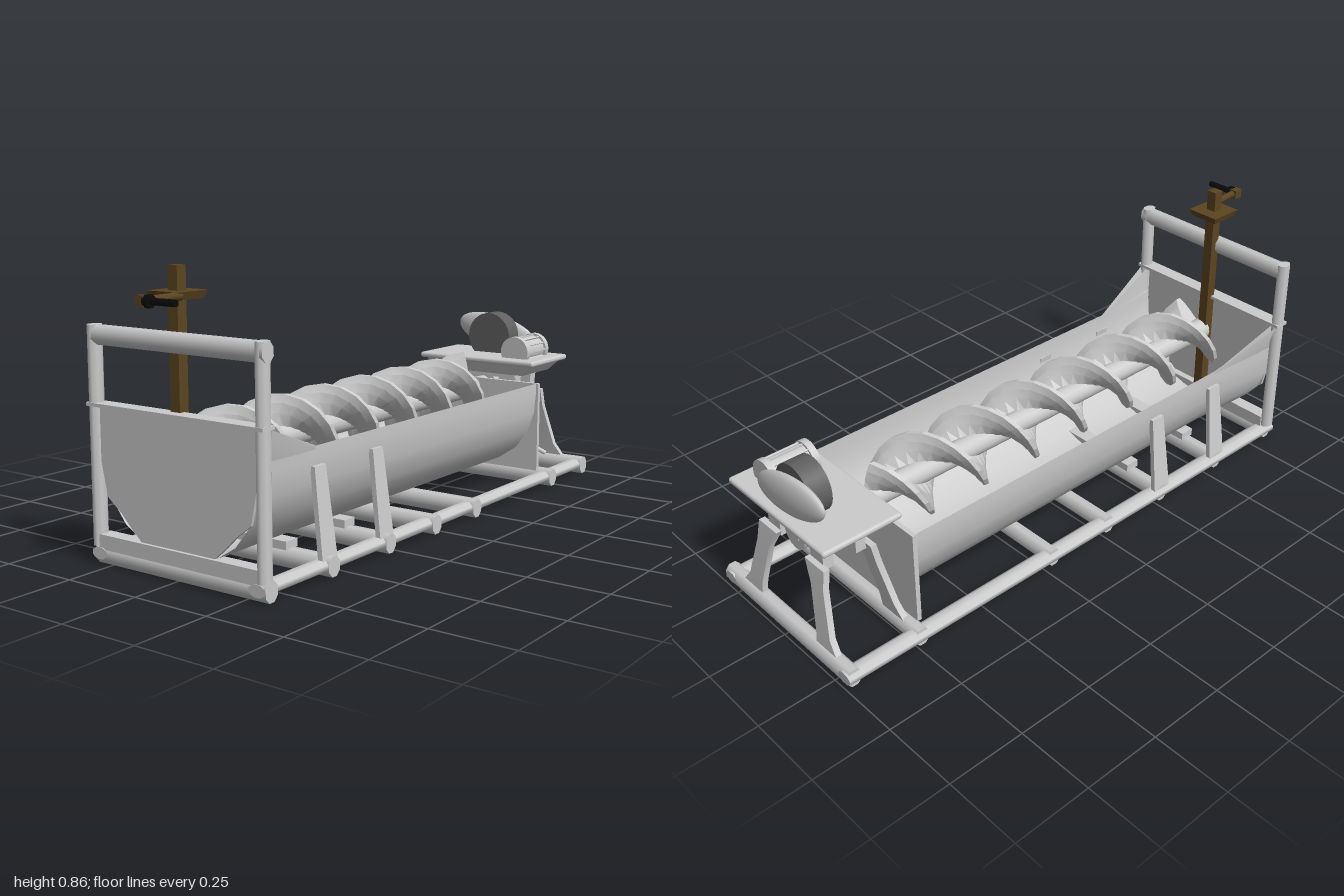
import * as THREE from 'three';
import { toCreasedNormals } from 'three/addons/utils/BufferGeometryUtils.js';
import { RoundedBoxGeometry } from 'three/addons/geometries/RoundedBoxGeometry.js';

const grey = new THREE.MeshStandardMaterial({ color: 0xcccccc, side: THREE.DoubleSide });
const dark = new THREE.MeshStandardMaterial({ color: 0x606060 });
const brown = new THREE.MeshStandardMaterial({ color: 0x5c4520 });
const black = new THREE.MeshStandardMaterial({ color: 0x0a0a0a });

export function createModel() {
  const root = new THREE.Group();
  const V = (x, y, z) => new THREE.Vector3(x, y, z);

  function add(name, geo, mat = grey, x = 0, y = 0, z = 0) {
    const m = new THREE.Mesh(geo, mat);
    m.name = name;
    m.position.set(x, y, z);
    root.add(m);
    return m;
  }
  const box = (name, w, h, d, x, y, z, mat) =>
    add(name, new THREE.BoxGeometry(w, h, d), mat, x, y, z);

  // Eight-sided bar of width w and depth d running from a to b
  function bar(name, a, b, w, d = w, mat = grey) {
    const dir = b.clone().sub(a);
    const g = new THREE.CylinderGeometry(0.541, 0.541, dir.length(), 8);
    g.rotateY(Math.PI / 8);
    g.scale(w, 1, d);
    const p = a.clone().add(b).multiplyScalar(0.5);
    const m = add(name, g, mat, p.x, p.y, p.z);
    m.quaternion.setFromUnitVectors(V(0, 1, 0), dir.normalize());
    return m;
  }

  // Cylinder lying along z
  function discZ(name, r, len, x, y, z, mat, seg = 28) {
    const g = new THREE.CylinderGeometry(r, r, len, seg);
    g.rotateX(Math.PI / 2);
    return add(name, g, mat, x, y, z);
  }

  // Skin over a row of cross-sections with equal point counts
  function loft(sections, closed, crease = 0.6) {
    const n = sections[0].length, pos = [], idx = [];
    sections.forEach(s => s.forEach(p => pos.push(p.x, p.y, p.z)));
    for (let i = 0; i < sections.length - 1; i++) {
      for (let j = 0; j < (closed ? n : n - 1); j++) {
        const k = (j + 1) % n, a = i * n + j, b = i * n + k;
        idx.push(a, b, a + n, b, b + n, a + n);
      }
    }
    if (closed) {
      const e = (sections.length - 1) * n;
      for (let j = 1; j < n - 1; j++) idx.push(0, j + 1, j, e, e + j, e + j + 1);
    }
    const g = new THREE.BufferGeometry();
    g.setAttribute('position', new THREE.Float32BufferAttribute(pos, 3));
    g.setIndex(idx);
    return toCreasedNormals(g, crease);
  }

  // Base frame: side rails and crossbars with joint collars
  for (const s of [-1, 1]) {
    bar('sideRail', V(s * 0.29, 0.035, -0.995), V(s * 0.29, 0.035, 0.85), 0.055, 0.035);
  }
  for (const z of [0.825, 0.555, 0.28, 0.03, -0.21, -0.73, -0.97]) {
    bar('crossbar', V(-0.305, 0.032, z), V(0.32, 0.032, z), 0.058, 0.05);
  }
  box('frontSill', 0.6, 0.06, 0.045, 0.005, 0.06, 0.825);
  for (const z of [0.555, 0.28]) box('troughSaddle', 0.34, 0.025, 0.05, 0, 0.07, z);

  // Front uprights and head bar
  for (const s of [-1, 1]) bar('frontPost', V(s * 0.302, 0.055, 0.83), V(s * 0.302, 0.685, 0.83), 0.035, 0.045);
  bar('headBar', V(-0.302, 0.657, 0.83), V(0.32, 0.657, 0.83), 0.055, 0.045);

  // Trough: U section, with a rim that rises and flares towards the front
  const half = (rimX, rimY, w) => [
    [rimX, rimY], [w, 0.33], [w * 0.975, 0.26], [w * 0.88, 0.19],
    [w * 0.71, 0.13], [w * 0.46, 0.085], [w * 0.2, 0.065],
  ];
  const section = (z, rimX, rimY, w) => {
    const h = half(rimX, rimY, w);
    return [...h, [0, 0.06], ...h.slice().reverse().map(([x, y]) => [-x, y])].map(([x, y]) => V(x, y, z));
  };
  add('trough', loft([
    section(-0.7, 0.262, 0.365, 0.262),
    section(0.58, 0.262, 0.365, 0.262),
    section(0.83, 0.29, 0.46, 0.284),
  ], false, 0.7));
  for (const s of [-1, 1]) {
    add('flaredWing', loft([
      [V(s * 0.262, 0.365, 0.56), V(s * 0.262, 0.355, 0.56)],
      [V(s * 0.315, 0.462, 0.83), V(s * 0.284, 0.36, 0.83)],
    ], false));
    // Flat braces from rails to trough wall
    for (const z of [0.555, 0.28]) {
      const at = (x, y, w) => [V(x * s, y, z - w), V(x * s, y, z + w), V((x - 0.016) * s, y, z + w), V((x - 0.016) * s, y, z - w)];
      add('sideBrace', loft([at(0.305, 0.05, 0.034), at(0.272, 0.31, 0.025)], true));
    }
  }

  // End plates
  const face = new THREE.Shape([
    [0.284, 0.46], [0.284, 0.3], [0.262, 0.2], [0.21, 0.16], [0.175, 0.125], [0.135, 0.09], [0.1, 0.065],
    [-0.1, 0.065], [-0.135, 0.09], [-0.175, 0.125], [-0.21, 0.16], [-0.262, 0.2], [-0.284, 0.3], [-0.284, 0.46],
  ].map(p => new THREE.Vector2(...p)));
  add('frontPlate', new THREE.ExtrudeGeometry(face, { depth: 0.01, bevelEnabled: false }), grey, 0, 0, 0.827);
  box('frontLip', 0.64, 0.01, 0.05, 0, 0.462, 0.83);
  box('backPlate', 0.535, 0.31, 0.015, 0.002, 0.21, -0.708);

  // Twin-start screw conveyor
  const axisY = 0.33, pitch = 0.426;
  discZ('screwShaft', 0.037, 1.5, 0, axisY, 0.05, grey, 16);
  const blade = [[0.03, -0.03], [0.075, -0.024], [0.105, -0.018], [0.13, -0.008],
    [0.13, 0.008], [0.105, 0.018], [0.075, 0.024], [0.03, 0.03]];
  for (let start = 0; start < 2; start++) {
    const rows = [], steps = 56;
    for (let i = 0; i <= steps; i++) {
      const z = -0.66 + (1.43 * i) / steps;
      const a = Math.PI / 2 + ((z - 0.61) / pitch) * Math.PI * 2 + start * Math.PI;
      rows.push(blade.map(([r, dz]) => V(r * Math.cos(a), axisY + r * Math.sin(a), z + dz)));
    }
    add('screwFlight', loft(rows, true, 0.35));
  }

  // Gate spindle, guide plate and crank
  box('gateSpindle', 0.034, 0.76, 0.034, -0.01, 0.48, 0.805, brown);
  const plate = new THREE.CylinderGeometry(0.081, 0.07, 0.022, 4);
  plate.rotateY(Math.PI / 4);
  add('guidePlate', toCreasedNormals(plate, 0.3), brown, -0.012, 0.782, 0.802);
  bar('crankArm', V(0.035, 0.782, 0.84), V(0.045, 0.782, 0.985), 0.022, 0.022, brown);
  box('crankBoss', 0.026, 0.03, 0.03, 0.04, 0.782, 0.98, brown);
  bar('crankCollar', V(0.05, 0.782, 0.98), V(0.068, 0.782, 0.98), 0.034, 0.034, black);
  bar('crankHandle', V(0.05, 0.782, 0.98), V(0.153, 0.782, 0.98), 0.018, 0.018, black);

  // Drive stand: splayed plate legs, hangers and bearing discs
  for (const s of [-1, 1]) {
    for (const [footZ, topZ] of [[-0.735, -0.775], [-0.97, -0.935]]) {
      const at = (x, y, z, w) => [V(s * x - w, y, z - 0.01), V(s * x + w, y, z - 0.01), V(s * x + w, y, z + 0.01), V(s * x - w, y, z + 0.01)];
      add('standLeg', loft([
        at(0.19, 0.05, footZ, 0.05), at(0.17, 0.1, footZ * 0.85 + topZ * 0.15, 0.033),
        at(0.135, 0.24, footZ * 0.3 + topZ * 0.7, 0.03), at(0.115, 0.305, topZ, 0.045),
      ], true));
    }
    for (const z of [-0.8, -0.91]) box('trayHanger', 0.06, 0.1, 0.035, s * 0.105, 0.335, z);
  }
  for (const z of [-0.8, -0.91]) {
    box('standCrosspiece', 0.27, 0.022, 0.05, 0, 0.373, z);
    discZ('bearingDisc', 0.05, 0.035, 0, 0.335, z, grey, 12);
    discZ('bearingCap', 0.025, 0.045, 0, 0.335, z, grey, 12);
  }
  bar('brackets', V(0.285, 0.115, -0.735), V(0.25, 0.14, -0.71), 0.015);
  discZ('driveStub', 0.03, 0.09, 0, axisY, -0.75, grey, 16);

  // Motor tray with tapered underside
  add('motorTray', new RoundedBoxGeometry(0.47, 0.02, 0.265, 2, 0.009), grey, 0, 0.425, -0.853);
  const under = new THREE.CylinderGeometry(Math.SQRT1_2, 0.58, 0.04, 4);
  under.rotateY(Math.PI / 4);
  under.scale(0.43, 1, 0.24);
  add('trayUnderside', toCreasedNormals(under, 0.3), grey, 0, 0.397, -0.853);

  // Pulley, belt guard and motor
  discZ('drivePulley', 0.085, 0.07, -0.022, 0.495, -0.892, dark, 32);
  const guard = add('beltGuard', new THREE.SphereGeometry(1, 32, 16), grey, -0.035, 0.498, -0.945);
  guard.scale.set(0.168, 0.065, 0.026);
  guard.rotation.z = -0.22;
  discZ('motorBody', 0.046, 0.13, 0.135, 0.458, -0.845);
  for (const z of [-0.778, -0.915]) discZ('motorEndBell', 0.054, 0.022, 0.135, 0.458, z);
  for (let i = 0; i < 12; i++) {
    const a = (i / 12) * Math.PI * 2;
    const fin = box('motorFin', 0.008, 0.006, 0.12, 0.135 + 0.047 * Math.cos(a), 0.458 + 0.047 * Math.sin(a), -0.845);
    fin.rotation.z = a;
  }
  return root;
}
